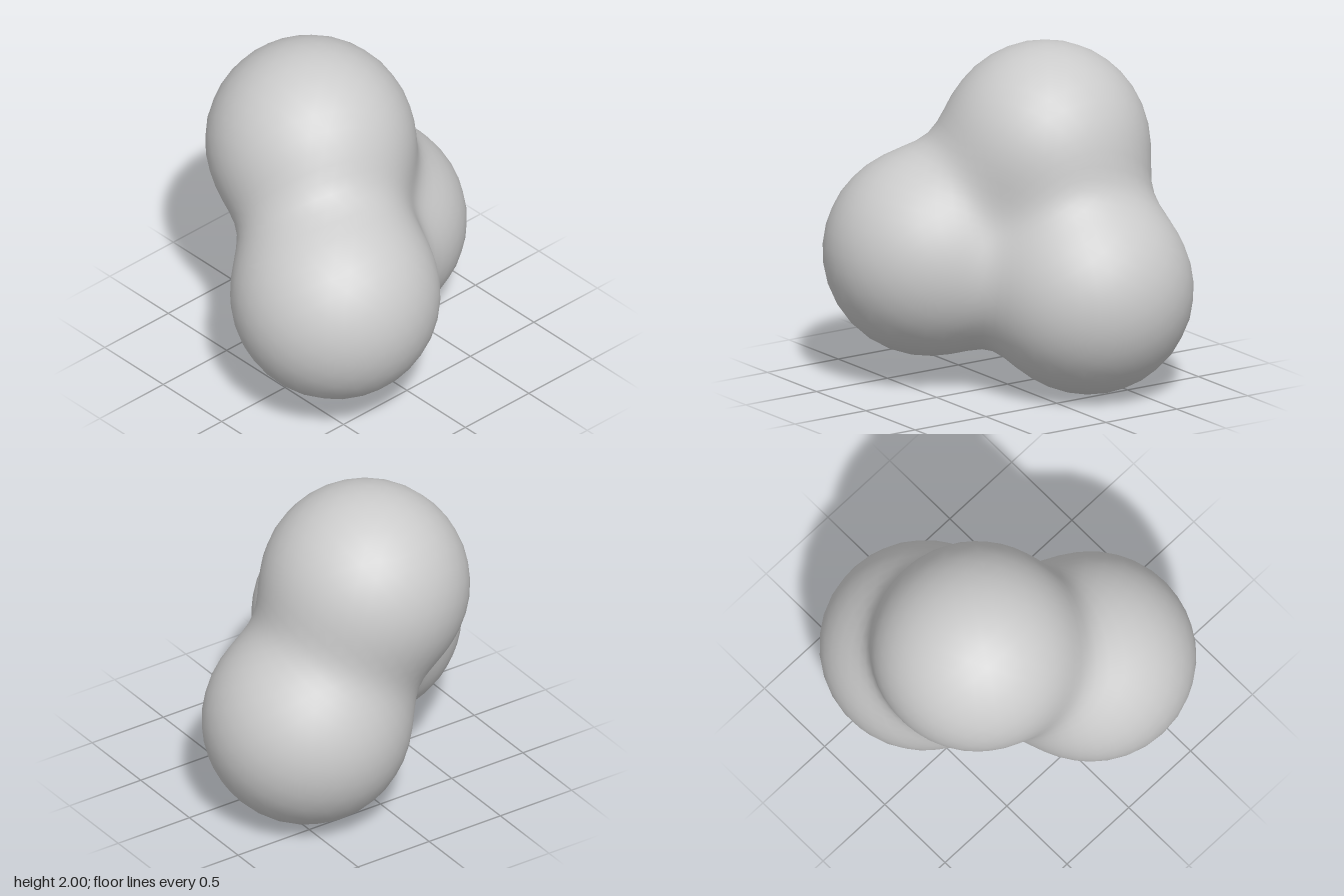
import * as THREE from 'three';

// Three equal balls melted into one smooth blob
const RADIUS = 0.61;
const SOFTNESS = 2.6; // lower values give thicker necks between the balls
const balls = [
  new THREE.Vector3(-0.29, 1.39, 0.035), // top
  new THREE.Vector3(0.3, 0.765, 0.38), // front left
  new THREE.Vector3(-0.305, 0.61, -0.385), // back right
];

const weight = (p, c) => Math.exp(-SOFTNESS * (p.distanceToSquared(c) / RADIUS ** 2 - 1));
const field = (p) => balls.reduce((sum, c) => sum + weight(p, c), 0);

// Outward direction: the falling slope of the field
function fieldNormal(p) {
  const n = new THREE.Vector3();
  for (const c of balls) n.addScaledVector(p.clone().sub(c), weight(p, c));
  return n.normalize();
}

// Push every vertex of a sphere out from the middle until it meets the blended surface
function blobGeometry() {
  const geometry = new THREE.IcosahedronGeometry(1, 10);
  const pos = geometry.attributes.position;
  const normal = geometry.attributes.normal;
  const middle = new THREE.Vector3();
  balls.forEach((c) => middle.addScaledVector(c, 1 / balls.length));

  const dir = new THREE.Vector3();
  const p = new THREE.Vector3();
  for (let i = 0; i < pos.count; i++) {
    dir.fromBufferAttribute(pos, i).normalize();
    let inside = 0;
    let outside = 1.6;
    for (let step = 0; step < 24; step++) {
      const t = (inside + outside) / 2;
      p.copy(middle).addScaledVector(dir, t);
      if (field(p) > 1) inside = t;
      else outside = t;
    }
    const n = fieldNormal(p);
    pos.setXYZ(i, p.x, p.y, p.z);
    normal.setXYZ(i, n.x, n.y, n.z);
  }
  return geometry;
}

export function createModel() {
  const group = new THREE.Group();
  group.name = 'meltedBalls';
  const blob = new THREE.Mesh(blobGeometry(), new THREE.MeshStandardMaterial({ color: 0xcccccc }));
  blob.name = 'blob';
  group.add(blob);
  return group;
}
